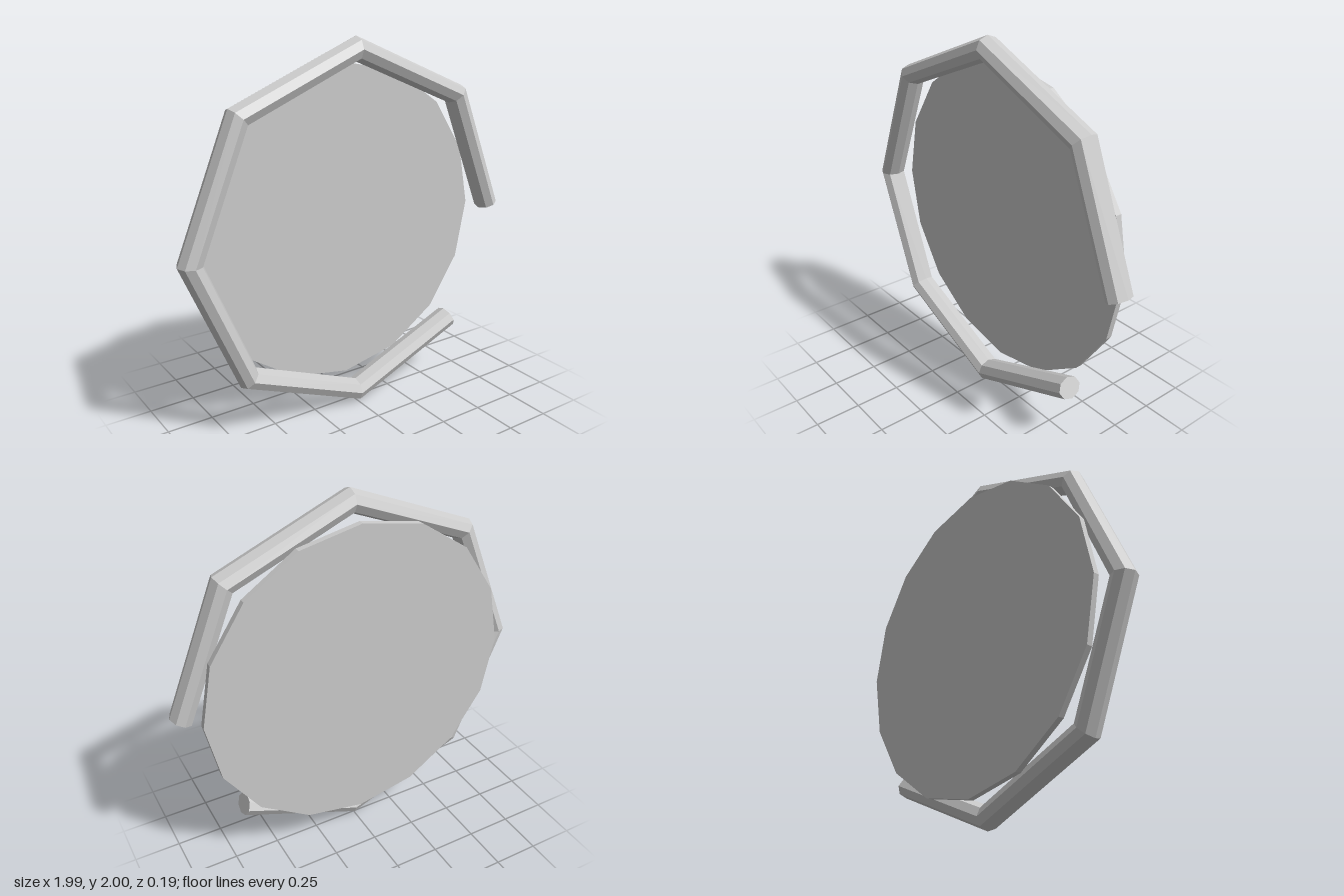
import * as THREE from 'three';

const material = new THREE.MeshStandardMaterial({ color: 0xcccccc, flatShading: true });
const CENTRE_X = 0.004;

// Open octagonal hoop: mitred elliptical tube over seven of eight sides, capped at both ends
function hoopGeometry(radius, halfWidth, halfDepth) {
  const sides = 8, segments = 7, step = Math.PI / 4;
  const positions = [], index = [];
  for (let i = 0; i <= segments; i++) {
    const theta = i * step;
    // end cuts are square to their segment, inner joints are mitred
    const tilt = i === 0 ? step / 2 : i === segments ? -step / 2 : 0;
    const half = tilt ? halfWidth : halfWidth / Math.cos(step / 2);
    for (let j = 0; j < sides; j++) {
      const v = (j / sides) * Math.PI * 2;
      const d = half * Math.cos(v);
      positions.push(
        radius * Math.cos(theta) + d * Math.cos(theta + tilt),
        radius * Math.sin(theta) + d * Math.sin(theta + tilt),
        halfDepth * Math.sin(v)
      );
    }
  }
  for (let i = 0; i < segments; i++) {
    for (let j = 0; j < sides; j++) {
      const k = (j + 1) % sides;
      const a = i * sides + j, b = a + sides, c = (i + 1) * sides + k, d = i * sides + k;
      index.push(a, b, c, a, c, d);
    }
  }
  // end caps
  const last = segments * sides;
  for (let j = 1; j < sides - 1; j++) {
    index.push(0, j, j + 1, last, last + j + 1, last + j);
  }
  const indexed = new THREE.BufferGeometry();
  indexed.setAttribute('position', new THREE.Float32BufferAttribute(positions, 3));
  indexed.setIndex(index);
  const geometry = indexed.toNonIndexed();
  geometry.computeVertexNormals();
  return geometry;
}

export function createModel() {
  const group = new THREE.Group();

  const hoop = new THREE.Mesh(hoopGeometry(0.937, 0.058, 0.07), material);
  hoop.name = 'openHoop';
  hoop.position.set(CENTRE_X, 1, 0.027);
  group.add(hoop);

  // Sixteen-sided disc standing just behind the hoop
  const discGeometry = new THREE.CylinderGeometry(0.865, 0.865, 0.033, 16);
  discGeometry.rotateX(Math.PI / 2);
  const disc = new THREE.Mesh(discGeometry, material);
  disc.name = 'backDisc';
  disc.position.set(CENTRE_X, 1, -0.0805);
  group.add(disc);

  return group;
}
